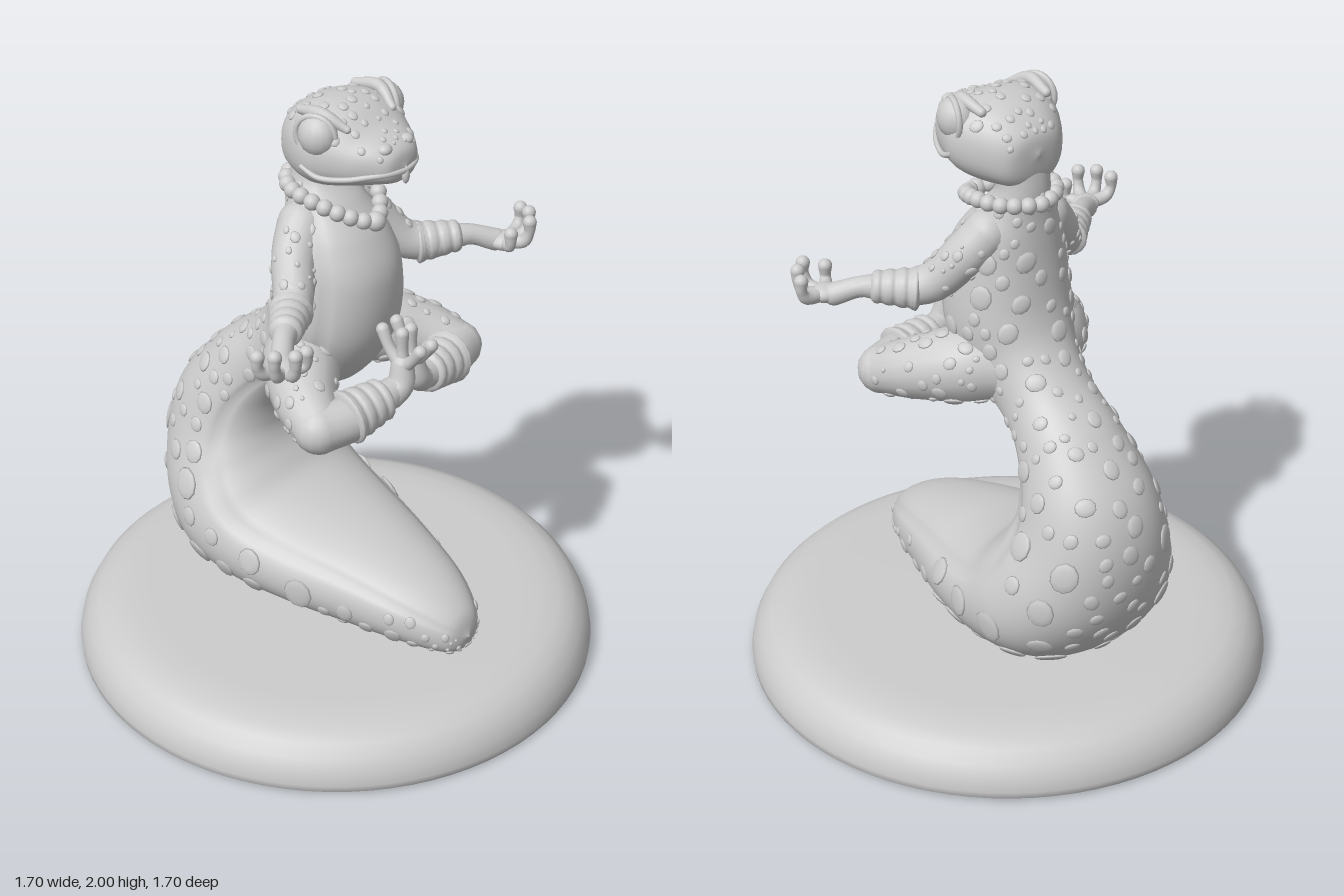
import * as THREE from 'three';
import { ParametricGeometry } from 'three/addons/geometries/ParametricGeometry.js';
import { mergeGeometries } from 'three/addons/utils/BufferGeometryUtils.js';

const stone = new THREE.MeshStandardMaterial({ color: 0xcccccc });
stone.name = 'stone grey';
const V = (x, y, z) => new THREE.Vector3(x, y, z);
const spline = (pts) => new THREE.CatmullRomCurve3(pts, false, 'catmullrom', 0.5);

let seed = 7;
const rnd = () => (seed = (seed * 16807) % 2147483647) / 2147483647;

function add(parent, name, geo) {
  const m = new THREE.Mesh(geo, stone);
  m.name = name;
  parent.add(m);
}

// Symmetric loft: rows are [outerZ, outerY, innerZ, innerY, halfWidth]
function loft(rows, power, groove = 0) {
  const outer = spline(rows.map((r) => V(0, r[1], r[0])));
  const inner = spline(rows.map((r) => V(r[4], r[3], r[2])));
  const bend = (k) => Math.sign(k) * Math.abs(k) ** power;
  return (u, v, out) => {
    const a = outer.getPoint(v), b = inner.getPoint(v), w = b.x;
    b.x = 0;
    const c = Math.cos(u * Math.PI * 2), s = Math.sin(u * Math.PI * 2);
    const k = 1 - groove * Math.exp(-(((s + 0.5) / 0.09) ** 2));
    const mid = a.clone().add(b).multiplyScalar(0.5);
    out.copy(a).sub(b).multiplyScalar(0.5 * bend(s) * k);
    out.x = w * bend(c) * k;
    return out.add(mid);
  };
}

// Round limb: points with a radius each
function limb(pts, radii) {
  const path = spline(pts), rad = spline(radii.map((r) => V(r, 0, 0)));
  const ref = V(0.1, 0.3, -0.95);
  return (u, v, out) => {
    const t = path.getTangent(v), r = rad.getPoint(v).x;
    const n = ref.clone().cross(t).normalize(), b = t.clone().cross(n);
    out.copy(path.getPoint(v)).addScaledVector(n, r * Math.cos(u * Math.PI * 2));
    return out.addScaledVector(b, r * Math.sin(u * Math.PI * 2));
  };
}

const ball = (p, r, sx = 1, sy = 1, sz = 1) =>
  new THREE.SphereGeometry(r, 16, 10).scale(sx, sy, sz).translate(p.x, p.y, p.z);

function limbGeo(pts, radii, rounded = true, stacks = 20) {
  const parts = [new ParametricGeometry(limb(pts, radii), 16, stacks)];
  if (rounded) parts.push(ball(pts[0], radii[0]), ball(pts.at(-1), radii.at(-1)));
  return mergeGeometries(parts);
}

// Raised round scales scattered over a surface without overlapping
function scales(surface, tries, u0, u1, v0, v1, big) {
  const placed = [], geos = [];
  for (let i = 0; i < tries; i++) {
    const u = u0 + (u1 - u0) * rnd(), v = v0 + (v1 - v0) * rnd();
    const p = surface(u, v, V(0, 0, 0));
    const width = surface(u + 0.5, v, V(0, 0, 0)).distanceTo(p) / 2;
    const r = Math.min(0.055, width * (0.09 + big * rnd()));
    if (placed.some((q) => q.p.distanceTo(p) < (q.r + r) * 1.2)) continue;
    placed.push({ p, r });
    const du = surface(u + 0.002, v, V(0, 0, 0)).sub(p);
    const dv = surface(u, v + 0.002, V(0, 0, 0)).sub(p);
    const q = new THREE.Quaternion().setFromUnitVectors(V(0, 0, 1), du.cross(dv).normalize());
    const m = new THREE.Matrix4().compose(p, q, V(r * 0.9, r * 1.05, 0.005 + r * 0.1));
    const dome = new THREE.SphereGeometry(1, 10, 4, 0, Math.PI * 2, 0, Math.PI * 0.7).rotateX(Math.PI / 2);
    geos.push(dome.applyMatrix4(m));
  }
  return mergeGeometries(geos);
}

// Wrapped band with raised rings, between two points
function cuff(a, b, r0, r1) {
  const shape = [0.6, 1.05, 1.06, 0.99, 1.06, 1.05, 0.98, 1.05, 1.05, 0.98, 1.06, 1.0, 0.6];
  const n = shape.length - 1;
  const pts = shape.map((_, i) => a.clone().lerp(b, i / n));
  return limbGeo(pts, shape.map((k, i) => k * (r0 + (r1 - r0) * i / n)), false, 48);
}

export function createModel() {
  seed = 7;
  const model = new THREE.Group();
  model.name = 'meditatingLizard';

  // Round plinth
  const profile = [[0.0001, 0], [0.838, 0], [0.848, 0.008], [0.85, 0.03], [0.842, 0.07], [0.82, 0.112],
    [0.785, 0.146], [0.74, 0.166], [0.68, 0.177], [0.6, 0.181], [0.0001, 0.183]];
  add(model, 'plinth', new THREE.LatheGeometry(profile.map((p) => new THREE.Vector2(...p)), 80));

  // Tail, torso and neck in one sweep
  const body = loft([
    [0.572, 0.25, 0.572, 0.255, 0.003], [0.54, 0.188, 0.535, 0.335, 0.085], [0.4, 0.178, 0.41, 0.41, 0.165],
    [0.2, 0.175, 0.2, 0.475, 0.235], [0, 0.175, 0, 0.515, 0.295], [-0.25, 0.178, -0.12, 0.56, 0.33],
    [-0.46, 0.235, -0.18, 0.62, 0.335], [-0.6, 0.4, -0.215, 0.68, 0.3], [-0.645, 0.62, -0.225, 0.745, 0.245],
    [-0.6, 0.82, -0.205, 0.83, 0.205], [-0.455, 1.0, -0.14, 0.92, 0.165], [-0.31, 1.12, -0.05, 0.97, 0.15],
    [-0.225, 1.22, 0.08, 1.03, 0.17], [-0.185, 1.32, 0.185, 1.2, 0.2], [-0.165, 1.45, 0.2, 1.4, 0.19],
    [-0.155, 1.56, 0.15, 1.53, 0.165], [-0.15, 1.64, 0.07, 1.63, 0.12], [-0.15, 1.72, 0.0, 1.71, 0.085],
    [-0.13, 1.85, 0.0, 1.8, 0.09],
  ], 0.93, 0.03);
  add(model, 'bodyAndTail', new ParametricGeometry(body, 60, 110));
  add(model, 'bodyScales', scales(body, 1400, -0.05, 0.55, 0.03, 0.93, 0.12));

  // Head
  const head = new THREE.Group();
  head.name = 'head';
  model.add(head);
  const skull = loft([
    [-0.152, 1.845, -0.152, 1.835, 0.004], [-0.135, 1.91, -0.13, 1.74, 0.095], [-0.06, 1.968, -0.06, 1.72, 0.155],
    [0.03, 1.988, 0.03, 1.72, 0.19], [0.1, 1.975, 0.1, 1.735, 0.178], [0.17, 1.935, 0.17, 1.757, 0.145],
    [0.23, 1.912, 0.23, 1.775, 0.1], [0.265, 1.885, 0.265, 1.79, 0.062], [0.277, 1.84, 0.277, 1.83, 0.004],
  ], 0.85);
  add(head, 'skull', new ParametricGeometry(skull, 40, 48));
  add(head, 'headScales', scales(skull, 150, 0.08, 0.42, 0.12, 0.8, 0.06));
  const lip = [[0.188, 1.825, 0.03], [0.178, 1.802, 0.09], [0.146, 1.808, 0.165], [0.1, 1.822, 0.226],
    [0.055, 1.828, 0.264]];
  const lipPts = [...lip.map((p) => V(...p)), V(0, 1.826, 0.276), ...lip.reverse().map(([x, y, z]) => V(-x, y, z))];
  add(head, 'lip', new THREE.TubeGeometry(spline(lipPts), 48, 0.009, 8));
  add(head, 'tongue', ball(V(0, 1.808, 0.277), 0.014, 0.9, 1.9, 0.8));

  // Necklace of beads
  const half = [[0.06, 1.685, -0.145], [0.112, 1.683, -0.09], [0.13, 1.68, -0.02], [0.11, 1.66, 0.06],
    [0.06, 1.63, 0.125]];
  const string = new THREE.CatmullRomCurve3([V(0, 1.682, -0.165), ...half.map((p) => V(...p)), V(0, 1.61, 0.162),
    ...half.reverse().map(([x, y, z]) => V(-x, y, z))], true);
  const beads = [];
  for (let i = 0; i < 22; i++) beads.push(ball(string.getPointAt(i / 22), i === 11 ? 0.031 : 0.026));
  add(model, 'necklace', mergeGeometries(beads));

  for (const s of [1, -1]) {
    const side = s > 0 ? 'left' : 'right';
    const P = (x, y, z) => V(x * s, y, z);

    // Eye with lid rim, brow and nostril
    add(head, side + 'Eye', ball(P(0.145, 1.922, 0.062), 0.064, 0.9, 1.05, 1));
    const rim = new THREE.TorusGeometry(0.063, 0.01, 8, 28).rotateY(s * 1.25).translate(s * 0.157, 1.922, 0.062);
    add(head, side + 'Eyelid', rim);
    add(head, side + 'Brow', limbGeo([P(0.1, 1.945, 0.135), P(0.125, 1.98, 0.06), P(0.12, 1.965, -0.03)],
      [0.012, 0.02, 0.015]));
    add(head, side + 'Nostril', ball(P(0.047, 1.895, 0.235), 0.022, 1.1, 0.8, 1));

    // Arm
    const armPts = [P(0.11, 1.57, -0.04), P(0.175, 1.5, -0.01), P(0.245, 1.41, 0.05), P(0.33, 1.385, 0.115),
      P(0.42, 1.395, 0.175), P(0.49, 1.368, 0.23)];
    const armRadii = [0.075, 0.07, 0.063, 0.054, 0.034, 0.036];
    add(model, side + 'Arm', limbGeo(armPts, armRadii));
    add(model, side + 'ArmScales', scales(limb(armPts, armRadii), 50, 0, 1, 0.05, 0.38, 0.2));
    add(model, side + 'WristWrap', cuff(P(0.275, 1.385, 0.07), P(0.405, 1.395, 0.165), 0.066, 0.046));

    // Hand with upturned fingers
    add(model, side + 'Palm', ball(P(0.505, 1.368, 0.255), 0.045, 1.1, 0.65, 1));
    const fingers = [[0.6, 1.44, 0.24], [0.58, 1.45, 0.29], [0.535, 1.448, 0.33], [0.468, 1.425, 0.31]];
    const hand = fingers.map(([x, y, z]) => limbGeo([P(0.505, 1.365, 0.255),
      P(0.505 + (x - 0.505) * 0.75, 1.375, 0.255 + (z - 0.255) * 0.75), P(x, y - 0.035, z), P(x, y, z)],
    [0.022, 0.021, 0.017, 0.022], true, 12));
    add(model, side + 'Fingers', mergeGeometries(hand));

    // Crossed leg
    const thighPts = [P(0.08, 1.12, -0.07), P(0.17, 1.115, 0.01), P(0.27, 1.085, 0.12), P(0.325, 1.05, 0.225)];
    const thighRadii = [0.11, 0.122, 0.1, 0.078];
    add(model, side + 'Thigh', limbGeo(thighPts, thighRadii));
    add(model, side + 'ThighScales', scales(limb(thighPts, thighRadii), 120, 0, 1, 0.15, 0.95, 0.2));
    add(model, side + 'Shin', limbGeo([P(0.325, 1.05, 0.225), P(0.2, 1.06, 0.27), P(0.06, 1.09, 0.29)],
      [0.078, 0.07, 0.045]));
    add(model, side + 'AnkleWrap', cuff(P(0.25, 1.06, 0.255), P(0.085, 1.08, 0.285), 0.084, 0.062));

    // Foot turned upward with spread toes
    add(model, side + 'Foot', limbGeo([P(0.07, 1.08, 0.29), P(0.035, 1.11, 0.3), P(0.022, 1.17, 0.295)],
      [0.046, 0.043, 0.036]));
    const toes = [[0.032, 1.27, 0.222], [0.02, 1.275, 0.29], [0.026, 1.245, 0.368]].map(([x, y, z]) =>
      limbGeo([P(0.022, 1.16, 0.295), P(x, (y + 1.16) / 2, z * 0.6 + 0.118), P(x, y, z)],
        [0.026, 0.018, 0.021], true, 12));
    add(model, side + 'Toes', mergeGeometries(toes));
  }
  return model;
}
